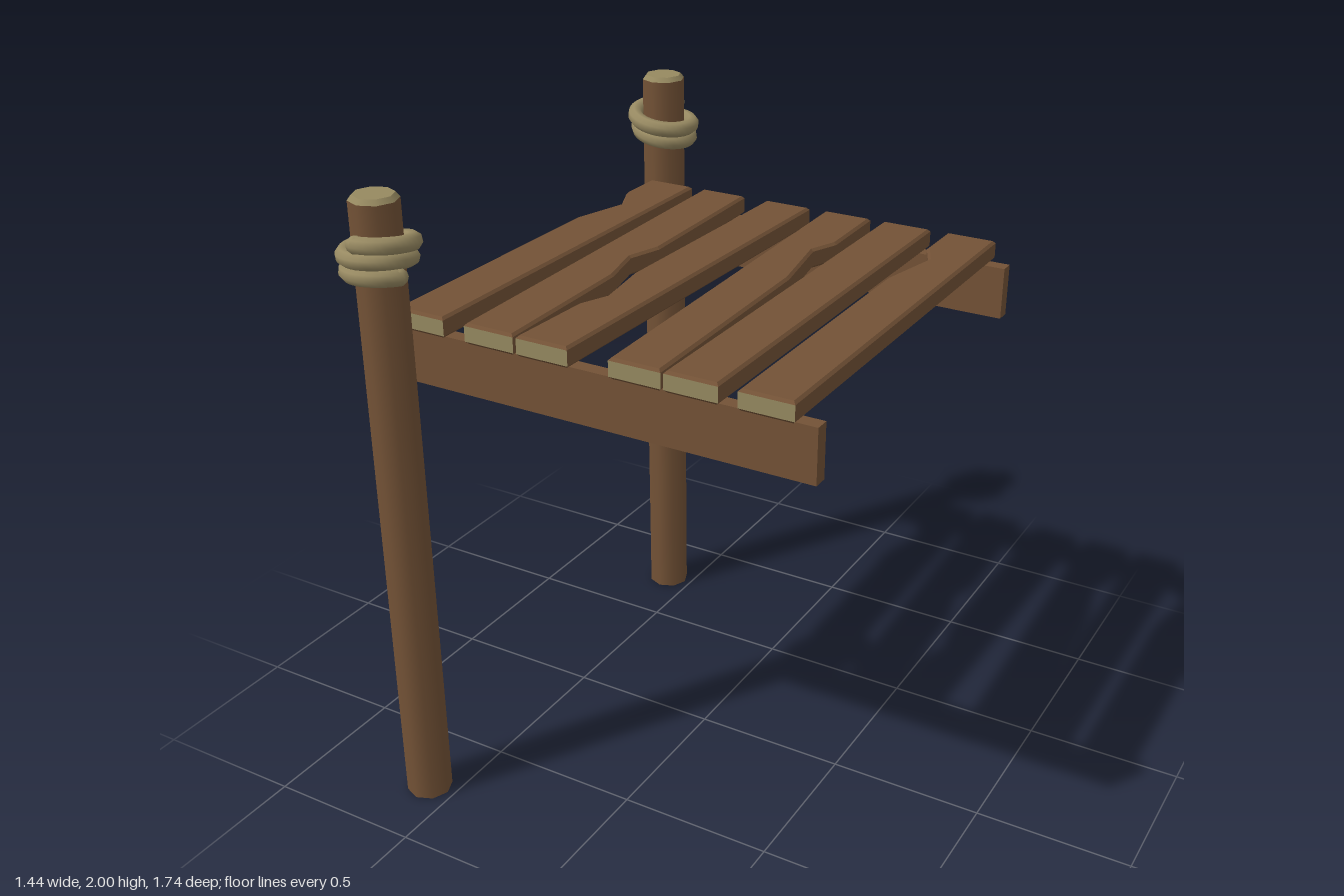
import * as THREE from 'three';

const wood = new THREE.MeshStandardMaterial({ name: 'brown wood', color: 0x735236 });
const cutWood = new THREE.MeshStandardMaterial({ name: 'pale cut wood', color: 0x968960 });
const ropeTan = new THREE.MeshStandardMaterial({ name: 'rope tan', color: 0x988a62 });

function add(parent, name, geometry, material, x = 0, y = 0, z = 0) {
  const mesh = new THREE.Mesh(geometry, material);
  mesh.name = name;
  mesh.position.set(x, y, z);
  parent.add(mesh);
  return mesh;
}

// Bevelled board from its plan outline [x, z]; the two sawn ends get the pale material
function plankGeometry(outline) {
  const bevel = 0.008;
  const shape = new THREE.Shape(outline.map(([x, z]) => new THREE.Vector2(x, -z)));
  const geo = new THREE.ExtrudeGeometry(shape, {
    depth: 0.063 - 2 * bevel, bevelEnabled: true, bevelSegments: 1,
    bevelSize: bevel, bevelThickness: bevel, bevelOffset: -bevel,
  });
  geo.rotateX(-Math.PI / 2);
  geo.translate(0, 1.588 + bevel, 0);
  geo.clearGroups();
  const normal = geo.attributes.normal;
  for (let i = 0; i < normal.count; i += 3) {
    geo.addGroup(i, 3, Math.abs(normal.getZ(i)) > 0.9 ? 1 : 0);
  }
  return geo;
}

// Rope wound a little over two turns around a post
class Coil extends THREE.Curve {
  getPoint(t, target = new THREE.Vector3()) {
    const a = t * Math.PI * 2 * 2.2;
    const r = 0.092 + 0.006 * Math.sin(a * 0.5);
    const y = 0.05 - 0.1 * t + 0.013 * Math.sin(a + 0.6);
    return target.set(Math.sin(a) * r, y, Math.cos(a) * r);
  }
}

function createPost(name, x, z, turn) {
  const post = new THREE.Group();
  post.name = name;
  post.position.set(x, 0, z);
  add(post, 'postShaft', new THREE.CylinderGeometry(0.072, 0.072, 1.985, 8), wood, 0, 0.9925, 0);
  const cap = new THREE.CylinderGeometry(0.06, 0.072, 0.015, 8);
  add(post, 'postCutTop', cap, cutWood, 0, 1.9925, 0);

  const rope = new THREE.Group();
  rope.name = 'ropeWrap';
  rope.position.set(0, 1.823, 0);
  rope.rotation.y = turn;
  const coil = new Coil();
  add(rope, 'ropeCoil', new THREE.TubeGeometry(coil, 72, 0.026, 8), ropeTan);
  for (const t of [0, 1]) {
    const p = coil.getPoint(t);
    add(rope, 'ropeEnd', new THREE.SphereGeometry(0.026, 8, 6), ropeTan, p.x, p.y, p.z);
  }
  post.add(rope);
  return post;
}

export function createModel() {
  const model = new THREE.Group();
  model.name = 'dockSection';

  model.add(createPost('frontPost', -0.595, 0.757, 0));
  model.add(createPost('backPost', -0.595, -0.75, Math.PI));

  // Cross beams under the deck
  for (const [name, z] of [['frontBeam', 0.667], ['backBeam', -0.623]]) {
    add(model, name, new THREE.BoxGeometry(1.33, 0.165, 0.045), wood, 0.06, 1.506, z);
  }

  // Planks: back and front edges in x, plus worn notches running back to front
  const back = -0.665, front = 0.705;
  const planks = [
    { b: [-0.597, -0.433], f: [-0.597, -0.433], left: [[-0.597, -0.505], [-0.545, -0.39], [-0.597, -0.2]] },
    { b: [-0.388, -0.228], f: [-0.36, -0.195], right: [[-0.213, -0.09], [-0.247, 0.02], [-0.208, 0.18]] },
    { b: [-0.145, 0.017], f: [-0.185, -0.017], left: [[-0.165, 0.14], [-0.135, 0.33], [-0.172, 0.42]] },
    { b: [0.073, 0.237], f: [0.113, 0.275], right: [[0.243, -0.4], [0.208, -0.31], [0.254, -0.06]] },
    { b: [0.283, 0.447], f: [0.283, 0.447] },
    { b: [0.503, 0.667], f: [0.503, 0.667], left: [[0.503, -0.505], [0.547, -0.41], [0.503, -0.2]] },
  ];
  planks.forEach(({ b, f, left = [], right = [] }, i) => {
    const outline = [
      [b[0], back], ...left, [f[0], front],
      [f[1], front], ...[...right].reverse(), [b[1], back],
    ];
    add(model, `plank${i + 1}`, plankGeometry(outline), [wood, cutWood]);
  });

  return model;
}
